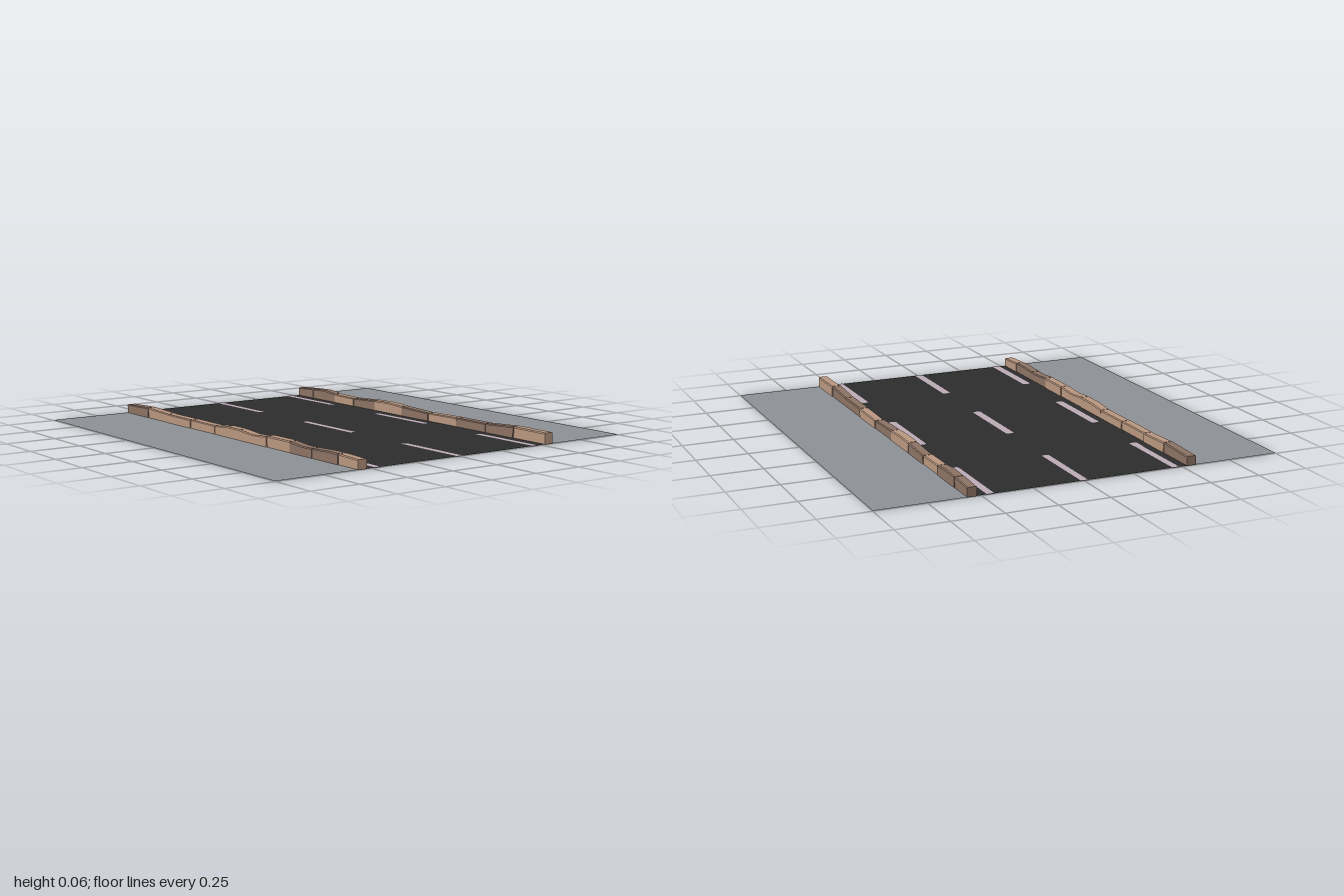
import * as THREE from 'three';

const mat = (name, color, side = THREE.FrontSide) => {
  const m = new THREE.MeshStandardMaterial({ color, side });
  m.name = name;
  return m;
};

// Linear interpolation through [z, height] points sorted by z
function heightAt(points, z) {
  for (let i = 1; i < points.length; i++) {
    const [z0, h0] = points[i - 1], [z1, h1] = points[i];
    if (z <= z1) return THREE.MathUtils.mapLinear(z, z0, z1, h0, h1);
  }
  return points[points.length - 1][1];
}

// Kerb stone: chamfered section swept along z, its top following the height points
function kerbStone(x, z0, z1, heights, shift) {
  const w = 0.024, c = 0.004;
  const section = new THREE.Shape([
    [-w, 0], [w, 0], [w, 0.9], [w - c, 1], [-w + c, 1], [-w, 0.9],
  ].map(([a, b]) => new THREE.Vector2(a, b)));
  const geo = new THREE.ExtrudeGeometry(section, { depth: z1 - z0 - 0.004, steps: 4, bevelEnabled: false });
  const p = geo.attributes.position;
  for (let i = 0; i < p.count; i++) {
    const z = p.getZ(i) + z0 + 0.002;
    p.setXYZ(i, x + shift + p.getX(i), p.getY(i) * heightAt(heights, z), z);
  }
  geo.computeVertexNormals();
  return geo;
}

export function createModel() {
  const model = new THREE.Group();
  const grey = mat('pavement grey', 0x8c9095, THREE.DoubleSide);
  const asphalt = mat('asphalt', 0x2c2c2c, THREE.DoubleSide);
  const paint = mat('road paint', 0xbaaab4, THREE.DoubleSide);
  const lightStone = mat('light stone', 0xb8967f);
  const darkStone = mat('dark stone', 0x8b7263);

  const add = (name, geo, material) => {
    const mesh = new THREE.Mesh(geo, material);
    mesh.name = name;
    model.add(mesh);
    return mesh;
  };

  // Flat ground: road between two pavements
  const sheet = (w, x, y) => new THREE.PlaneGeometry(w, 2).rotateX(-Math.PI / 2).translate(x, y, 0);
  add('road', sheet(1.08, 0, 0.002), asphalt);
  add('leftPavement', sheet(0.46, 0.77, 0.002), grey);
  add('rightPavement', sheet(0.46, -0.77, 0.002), grey);

  // Lane dashes, with clipped corners, on both faces of the road sheet
  for (const x of [-0.465, 0, 0.457]) {
    for (const [z0, z1] of [[-1, -0.59], [-0.21, 0.205], [0.59, 1]]) {
      const w = 0.02, c = 0.008;
      const a = z0 === -1 ? 0 : c, b = z1 === 1 ? 0 : c;
      const outline = new THREE.Shape([
        [-w + a, -z0], [-w, -z0 - a], [-w, -z1 + b], [-w + b, -z1],
        [w - b, -z1], [w, -z1 + b], [w, -z0 - a], [w - a, -z0],
      ].map(([u, v]) => new THREE.Vector2(u, v)));
      for (const y of [0, 0.004]) {
        add('laneDash', new THREE.ShapeGeometry(outline).rotateX(-Math.PI / 2).translate(x, y, 0), paint);
      }
    }
  }

  // Kerbs: joints along z, tone of each stone (L light, D dark), top heights
  const kerbs = [
    {
      name: 'rightKerb', x: -0.548, tones: 'DLLLLLLDDL',
      joints: [-1, -0.785, -0.59, -0.37, -0.15, 0.07, 0.3, 0.485, 0.66, 0.855, 1],
      heights: [[-1, 0.045], [-0.8, 0.053], [-0.6, 0.045], [-0.15, 0.044], [-0.04, 0.054], [0.07, 0.054],
        [0.2, 0.044], [0.3, 0.054], [0.48, 0.055], [0.6, 0.045], [0.8, 0.053], [1, 0.046]],
    },
    {
      name: 'leftKerb', x: 0.543, tones: 'DDLDLDLDDL',
      joints: [-1, -0.86, -0.66, -0.49, -0.305, -0.075, 0.14, 0.36, 0.58, 0.78, 1],
      heights: [[-1, 0.045], [-0.86, 0.053], [-0.75, 0.057], [-0.65, 0.046], [-0.48, 0.044], [-0.3, 0.054],
        [-0.2, 0.057], [-0.07, 0.05], [0.14, 0.042], [0.36, 0.046], [0.58, 0.046], [0.78, 0.057], [1, 0.055]],
    },
  ];
  for (const { name, x, tones, joints, heights } of kerbs) {
    [...tones].forEach((tone, i) => {
      const geo = kerbStone(x, joints[i], joints[i + 1], heights, 0.002 * Math.sin(i * 2.3));
      add(name + 'Stone', geo, tone === 'L' ? lightStone : darkStone);
    });
  }
  return model;
}
